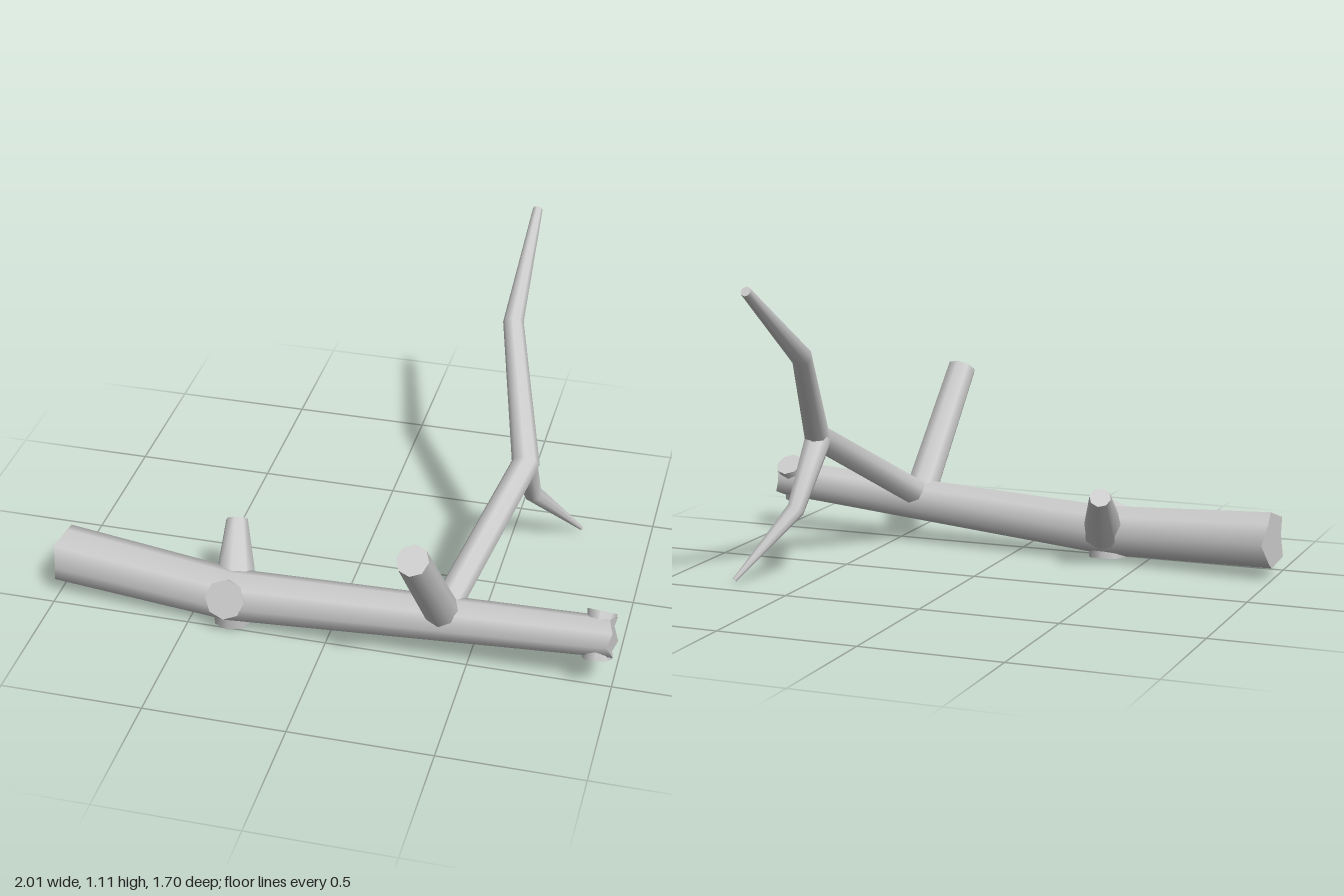
import * as THREE from 'three';

const material = new THREE.MeshStandardMaterial({ color: 0xcccccc });
const SIDES = 8;

// Tapered limb swept along stations [x, y, z, radius]; jag makes splintered ends.
function limb(name, stations, jag = 0) {
  const points = stations.map(([x, y, z]) => new THREE.Vector3(x, y, z));
  const last = points.length - 1;
  const first = points[1].clone().sub(points[0]).normalize();

  // Reference axis least aligned with the limb
  const a = first.toArray().map(Math.abs);
  const ref = new THREE.Vector3().setComponent(a.indexOf(Math.min(...a)), 1);

  // One frame per station, mitred at bends
  const frames = points.map((p, i) => {
    const t = new THREE.Vector3();
    if (i > 0) t.add(p.clone().sub(points[i - 1]).normalize());
    if (i < last) t.add(points[i + 1].clone().sub(p).normalize());
    t.normalize();
    const u = ref.clone().cross(t).normalize();
    return { t, u, v: u.clone().cross(t) };
  });

  const geometry = new THREE.CylinderGeometry(1, 1, 1, SIDES, last);
  const pos = geometry.attributes.position;
  const nor = geometry.attributes.normal;
  for (let i = 0; i < pos.count; i++) {
    const x = pos.getX(i), y = pos.getY(i), z = pos.getZ(i);
    const row = Math.round((y + 0.5) * last);
    const { t, u, v } = frames[row];
    const p = points[row].clone()
      .addScaledVector(u, x * stations[row][3])
      .addScaledVector(v, z * stations[row][3]);

    // Alternate rim corners stick out at the broken ends
    const corner = Math.round((Math.atan2(z, x) / (Math.PI * 2)) * SIDES);
    const rim = Math.hypot(x, z) > 0.5;
    if (rim && corner % 2 !== 0) {
      if (row === 0) p.addScaledVector(t, -jag);
      if (row === last) p.addScaledVector(t, jag);
    }
    pos.setXYZ(i, p.x, p.y, p.z);

    const ny = nor.getY(i);
    const n = Math.abs(ny) > 0.5
      ? t.clone().multiplyScalar(Math.sign(ny))
      : u.clone().multiplyScalar(x).addScaledVector(v, z).normalize();
    nor.setXYZ(i, n.x, n.y, n.z);
  }
  const mesh = new THREE.Mesh(geometry, material);
  mesh.name = name;
  return mesh;
}

export function createModel() {
  const group = new THREE.Group();
  group.name = 'fallenBranch';
  group.add(
    // Main log, gently bent, broken at both ends
    limb('log', [
      [-0.983, 0.138, 0.382, 0.102],
      [-0.35, 0.11, 0.443, 0.092],
      [0.983, 0.202, 0.488, 0.069],
    ], 0.017),

    // Long crooked branch reaching back and up
    limb('longBranch', [
      [0.41, 0.19, 0.45, 0.052],
      [0.58, 0.485, -0.07, 0.05],
      [0.45, 0.83, -0.45, 0.037],
      [0.456, 1.095, -0.84, 0.018],
    ]),

    // Thin twig drooping from the elbow
    limb('twig', [
      [0.572, 0.48, -0.075, 0.05],
      [0.585, 0.25, -0.24, 0.033],
      [0.744, 0.017, -0.408, 0.008],
    ]),

    // Sawn-off branch leaning forward
    limb('sawnBranch', [
      [0.41, 0.17, 0.46, 0.062],
      [0.375, 0.624, 0.81, 0.055],
    ]),

    // Tapered stub at the back
    limb('backStub', [
      [-0.352, 0.115, 0.4, 0.077],
      [-0.395, 0.278, 0.225, 0.039],
    ]),

    // Cut knots at the bend
    limb('frontKnot', [
      [-0.35, 0.112, 0.44, 0.055],
      [-0.352, 0.147, 0.53, 0.071],
    ]),
    limb('bottomKnot', [
      [-0.35, 0.11, 0.45, 0.045],
      [-0.352, 0.012, 0.44, 0.071],
    ]),

    // Cut knots near the thin end
    limb('upperEndKnot', [
      [0.94, 0.2, 0.486, 0.035],
      [0.945, 0.266, 0.437, 0.052],
    ]),
    limb('lowerEndKnot', [
      [0.94, 0.2, 0.486, 0.035],
      [0.947, 0.128, 0.515, 0.052],
    ]),
  );
  return group;
}
